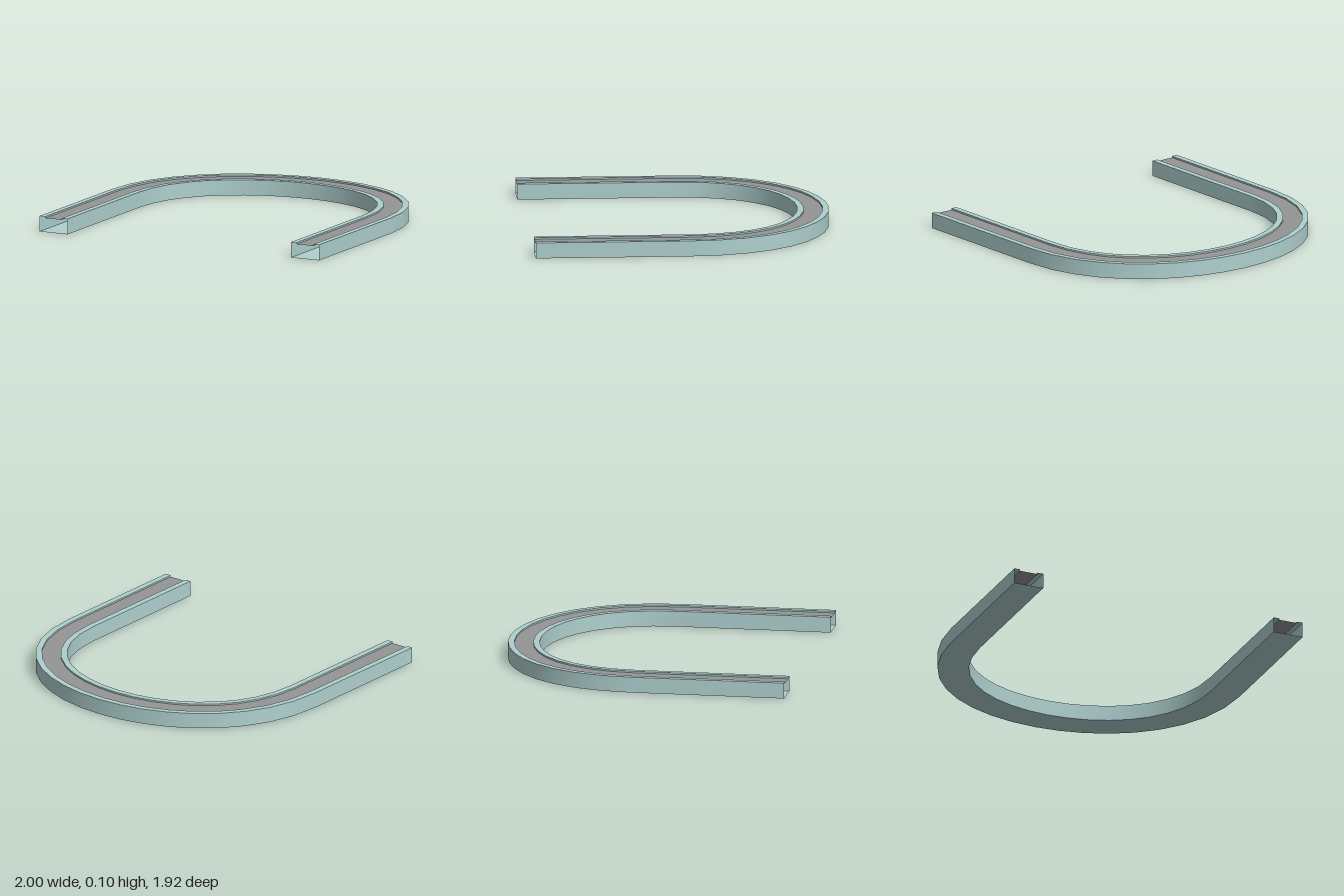
import * as THREE from 'three';

const SEGMENTS = 18; // facets round the bend
const END_Z = 0.96, BEND_Z = -0.02, RADIUS = 0.9, HANDLE = 1.125;

// Stations along the U-shaped centre line: position (x, z) and outward direction (nx, nz)
function makeStations() {
  const bend = new THREE.CubicBezierCurve(
    new THREE.Vector2(-RADIUS, BEND_Z),
    new THREE.Vector2(-RADIUS, BEND_Z - HANDLE),
    new THREE.Vector2(RADIUS, BEND_Z - HANDLE),
    new THREE.Vector2(RADIUS, BEND_Z)
  );
  const stations = [{ x: -RADIUS, z: END_Z, nx: -1, nz: 0 }];
  for (let i = 0; i <= SEGMENTS; i++) {
    const p = bend.getPoint(i / SEGMENTS);
    const t = bend.getTangent(i / SEGMENTS);
    stations.push({ x: p.x, z: p.y, nx: t.y, nz: -t.x });
  }
  stations.push({ x: RADIUS, z: END_Z, nx: 1, nz: 0 });
  return stations;
}

// Sweeps one edge of the cross-section, from (offset, height) a to b, along the track
function sweepEdge(stations, a, b) {
  const positions = [], index = [];
  stations.forEach((s, i) => {
    for (const [offset, y] of [a, b]) {
      positions.push(s.x + s.nx * offset, y, s.z + s.nz * offset);
    }
    if (i > 0) {
      const k = (i - 1) * 2;
      index.push(k, k + 1, k + 2, k + 1, k + 3, k + 2);
    }
  });
  const geometry = new THREE.BufferGeometry();
  geometry.setAttribute('position', new THREE.Float32BufferAttribute(positions, 3));
  geometry.setIndex(index);
  geometry.computeVertexNormals();
  return geometry;
}

export function createModel() {
  const frame = new THREE.MeshStandardMaterial({ color: 0xaed0ce, side: THREE.DoubleSide });
  frame.name = 'pale teal frame';
  const belt = new THREE.MeshStandardMaterial({ color: 0x959595, side: THREE.DoubleSide });
  belt.name = 'grey belt';

  const W = 0.1, H = 0.1, B = 0.06, BELT_Y = 0.09;
  // Hollow open-ended channel with a shallow recess for the belt
  const parts = [
    ['outerWall', [W, 0], [W, H], frame],
    ['outerRim', [W, H], [B, H], frame],
    ['outerLip', [B, H], [B, BELT_Y], frame],
    ['beltSurface', [B, BELT_Y], [-B, BELT_Y], belt],
    ['innerLip', [-B, BELT_Y], [-B, H], frame],
    ['innerRim', [-B, H], [-W, H], frame],
    ['innerWall', [-W, H], [-W, 0], frame],
    ['bottom', [-W, 0], [W, 0], frame],
  ];

  const model = new THREE.Group();
  model.name = 'curvedConveyor';
  const stations = makeStations();
  for (const [name, a, b, material] of parts) {
    const mesh = new THREE.Mesh(sweepEdge(stations, a, b), material);
    mesh.name = name;
    model.add(mesh);
  }
  return model;
}
